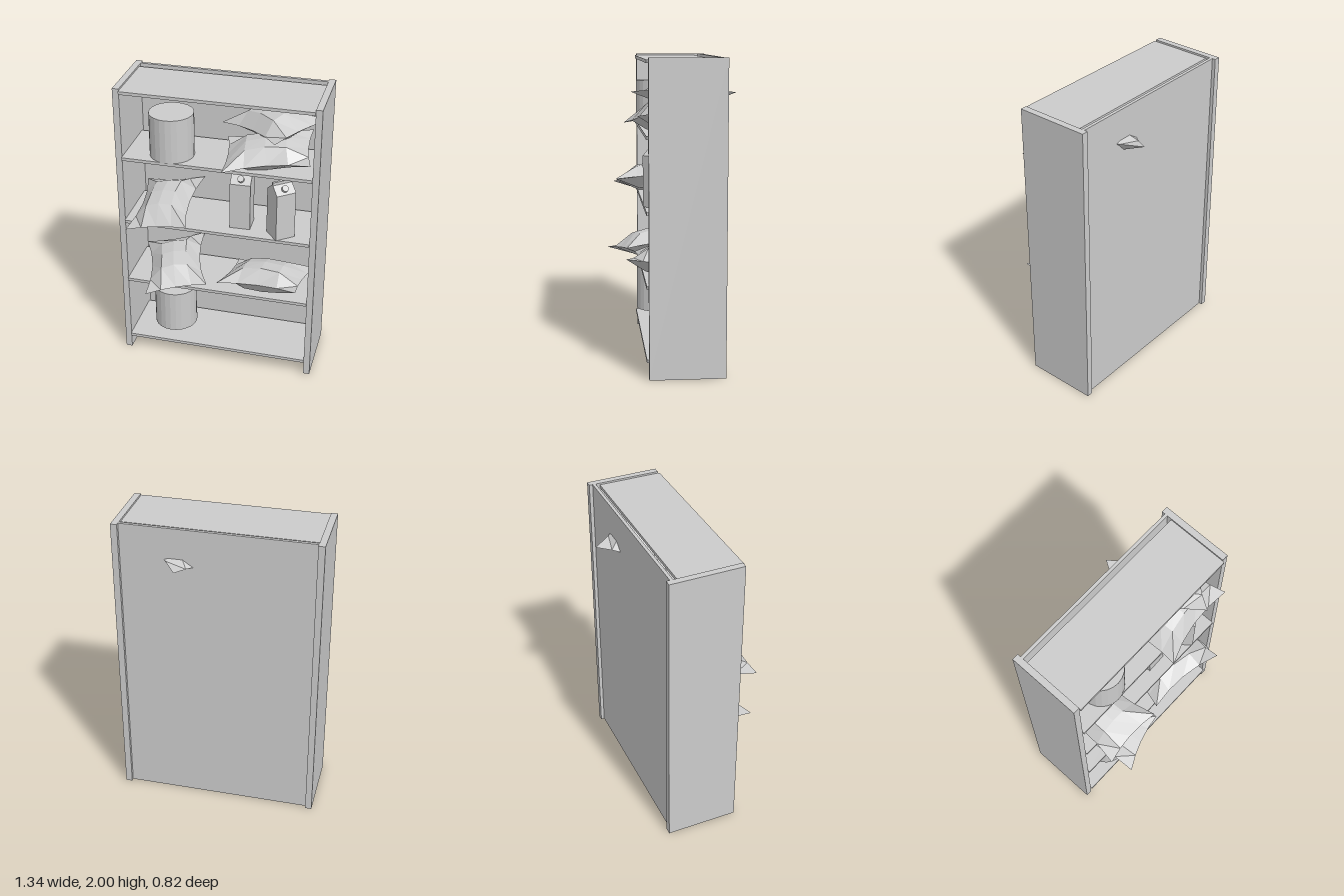
import * as THREE from 'three';
import { mergeVertices } from 'three/addons/utils/BufferGeometryUtils.js';

const grey = new THREE.MeshStandardMaterial({ color: 0xcccccc });
const facet = new THREE.MeshStandardMaterial({ color: 0xcccccc, flatShading: true });
const pillowMat = new THREE.MeshStandardMaterial({ color: 0xcccccc, flatShading: true, side: THREE.DoubleSide });

function add(parent, name, geometry, material = grey) {
  const mesh = new THREE.Mesh(geometry, material);
  mesh.name = name;
  parent.add(mesh);
  return mesh;
}

// Box given by its limits on each axis
function slab(parent, name, [x0, x1], [y0, y1], [z0, z1]) {
  const m = add(parent, name, new THREE.BoxGeometry(x1 - x0, y1 - y0, z1 - z0));
  m.position.set((x0 + x1) / 2, (y0 + y1) / 2, (z0 + z1) / 2);
}

// Soft bag: two puffed sheets over a parallelogram, with edges pulled in between the corners
function bag(parent, name, frontLeft, frontRight, backLeft) {
  const fl = new THREE.Vector3(...frontLeft);
  const fr = new THREE.Vector3(...frontRight);
  const bl = new THREE.Vector3(...backLeft);
  const center = fr.clone().add(bl).multiplyScalar(0.5);
  const U = fr.clone().sub(fl).multiplyScalar(0.5);
  const V = fl.clone().sub(bl).multiplyScalar(0.5);
  const N = V.clone().cross(U).normalize();
  const group = new THREE.Group();
  group.name = name;
  parent.add(group);
  for (const side of [1, -1]) {
    const geo = new THREE.PlaneGeometry(2, 2, 4, 4);
    const pos = geo.attributes.position;
    const p = new THREE.Vector3();
    for (let i = 0; i < pos.count; i++) {
      const u = pos.getX(i);
      const v = -pos.getY(i) * side;
      const cu = 1 - u * u;
      const cv = 1 - v * v;
      p.copy(center)
        .addScaledVector(U, u * (1 - 0.08 * cv))
        .addScaledVector(V, v * (1 - 0.2 * cu))
        .addScaledVector(N, side * 0.1 * Math.sqrt(Math.max(0, cu * cv)));
      pos.setXYZ(i, p.x, p.y, p.z);
    }
    geo.deleteAttribute('uv');
    geo.deleteAttribute('normal');
    const sheet = mergeVertices(geo);
    sheet.computeVertexNormals();
    add(group, side > 0 ? 'bagTop' : 'bagBottom', sheet, pillowMat);
  }
}

// Gable-top carton with a round cap on its front slope
function carton(parent, name, x, z, turn) {
  const w = 0.136, h = w / 2;
  const group = new THREE.Group();
  group.name = name;
  group.position.set(x, 1.06, z);
  group.rotation.y = turn;
  parent.add(group);
  const outline = [[-h, 0], [h, 0], [h, 0.325], [0.008, 0.375], [0.008, 0.395],
    [-0.008, 0.395], [-0.008, 0.375], [-h, 0.325]];
  const shape = new THREE.Shape(outline.map(([a, b]) => new THREE.Vector2(a, b)));
  const geo = new THREE.ExtrudeGeometry(shape, { depth: w, bevelEnabled: false });
  geo.translate(0, 0, -h);
  geo.rotateY(-Math.PI / 2);
  add(group, 'cartonBody', geo);
  const cap = add(group, 'cartonCap', new THREE.CylinderGeometry(0.022, 0.022, 0.025, 16));
  cap.position.set(0, 0.354, 0.042);
  cap.rotation.x = 0.7;
}

export function createModel() {
  const model = new THREE.Group();
  model.name = 'stockedShelf';

  // Case
  slab(model, 'rightPanel', [-0.67, -0.627], [0, 2], [-0.3, 0.185]);
  slab(model, 'leftPanel', [0.622, 0.665], [0, 2], [-0.3, 0.185]);
  slab(model, 'backPanel', [-0.627, 0.622], [0, 2], [-0.277, -0.256]);
  for (const y of [0.1, 0.573, 1.037, 1.505, 1.967]) {
    slab(model, 'shelf', [-0.627, 0.622], [y, y + 0.021], [-0.227, 0.197]);
  }

  // Round tins
  for (const y of [0.215, 1.528]) {
    const tin = add(model, 'tin', new THREE.CylinderGeometry(0.146, 0.146, 0.298, 24), facet);
    tin.position.set(-0.325, y + 0.149, 0.06);
  }

  // Cartons
  carton(model, 'straightCarton', 0.14, 0.045, 0.03);
  carton(model, 'turnedCarton', 0.415, 0.11, 0.68);

  // Bags, each placed by three of its corners
  bag(model, 'lowerRightBag', [-0.04, 0.70, 0.29], [-0.2, 0.76, -0.26], [-0.43, 0.635, 0.41]);
  bag(model, 'lowerLeftBag', [0.015, 0.69, 0.24], [0.565, 0.755, 0.32], [0.075, 0.64, -0.165]);
  bag(model, 'middleBag', [-0.155, 1.16, 0.36], [-0.19, 1.22, -0.24], [-0.565, 1.09, 0.36]);
  bag(model, 'upperBagBottom', [0.065, 1.565, 0.31], [0.615, 1.65, 0.25], [0.01, 1.62, -0.1]);
  bag(model, 'upperBagTop', [-0.03, 1.715, -0.1], [0.395, 1.785, 0.28], [0.235, 1.77, -0.41]);

  return model;
}
